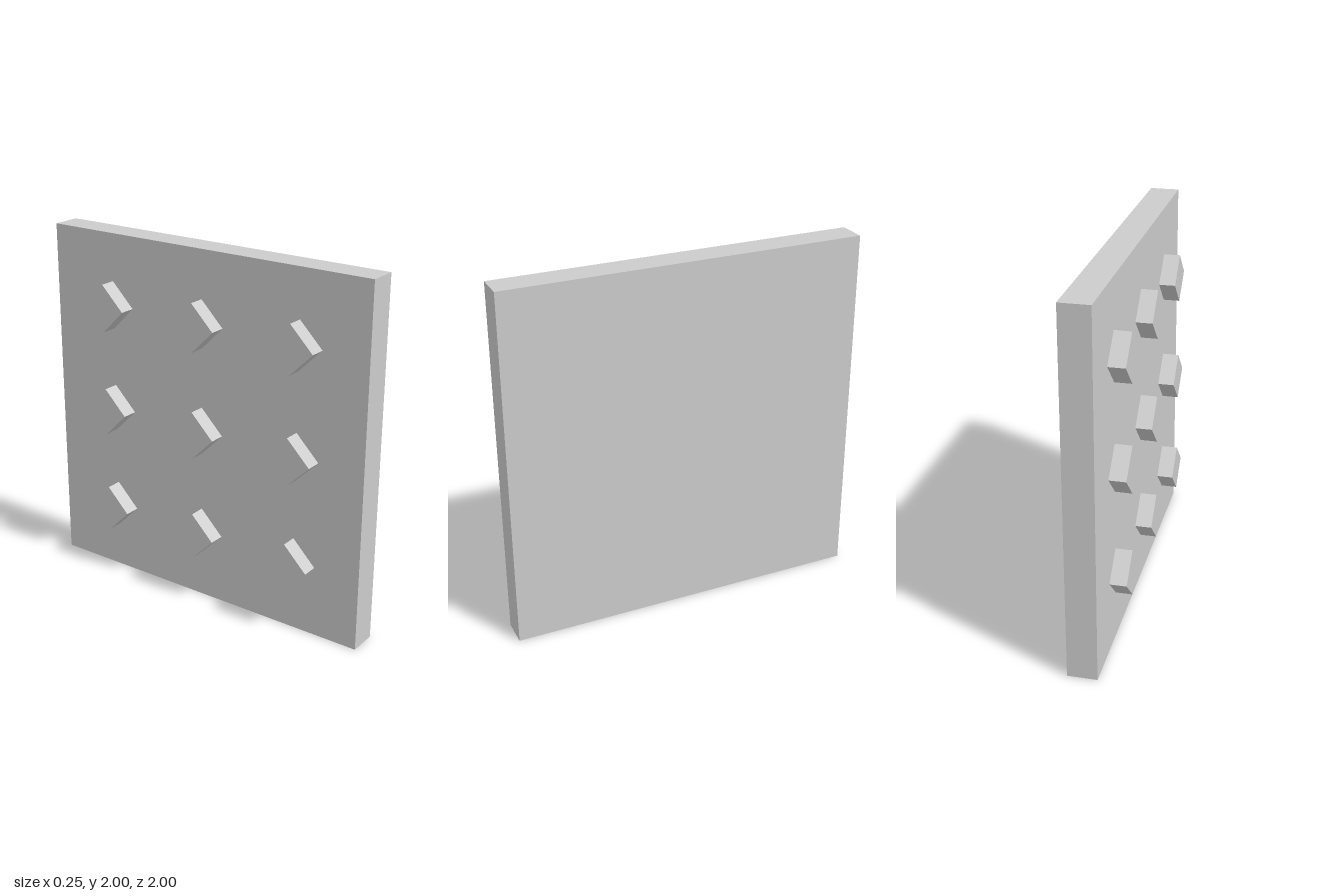
import * as THREE from 'three';

export function createModel() {
  const group = new THREE.Group();
  const material = new THREE.MeshStandardMaterial({ color: 0xcccccc, flatShading: true });

  const panelDepth = 0.16;
  const studDepth = 0.09;
  const studSide = 0.19;
  const spacing = 0.6;
  const halfDepth = (panelDepth + studDepth) / 2;

  // Upright square panel
  const panel = new THREE.Mesh(new THREE.BoxGeometry(panelDepth, 2, 2), material);
  panel.name = 'panel';
  panel.position.set(halfDepth - panelDepth / 2, 1, 0);
  group.add(panel);

  // Three by three grid of diamond studs on the right face
  const studs = new THREE.Group();
  studs.name = 'studs';
  const studGeometry = new THREE.BoxGeometry(studDepth, studSide, studSide);
  studGeometry.rotateX(Math.PI / 4);
  for (let row = -1; row <= 1; row++) {
    for (let column = -1; column <= 1; column++) {
      const stud = new THREE.Mesh(studGeometry, material);
      stud.name = 'diamondStud';
      stud.position.set(-halfDepth + studDepth / 2, 1 + row * spacing, column * spacing);
      studs.add(stud);
    }
  }
  group.add(studs);

  return group;
}
